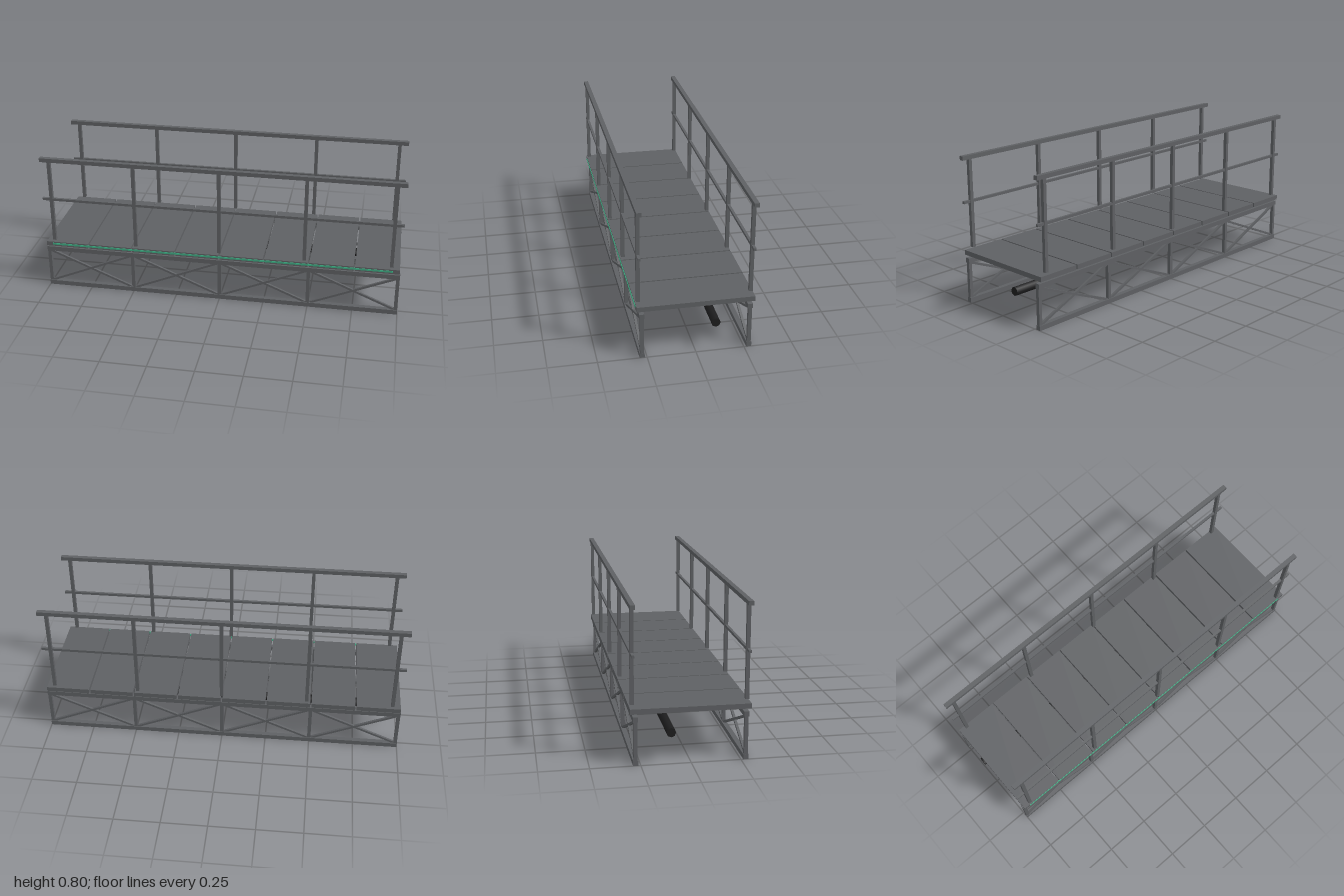
import * as THREE from 'three';

export function createModel() {
  const model = new THREE.Group();
  model.name = 'footbridge';

  const makeMaterial = (name, color) => {
    const m = new THREE.MeshStandardMaterial({ color });
    m.name = name;
    return m;
  };
  const steel = makeMaterial('steel grey', 0x5e6063);
  const black = makeMaterial('pipe black', 0x1d1d1e);
  const green = makeMaterial('light strip green', 0x3fae84);

  const box = (parent, name, size, pos, material = steel) => {
    const mesh = new THREE.Mesh(new THREE.BoxGeometry(...size), material);
    mesh.name = name;
    mesh.position.set(...pos);
    parent.add(mesh);
    return mesh;
  };

  // Deck: eight plates with narrow gaps
  const deck = new THREE.Group();
  deck.name = 'deck';
  model.add(deck);
  for (let i = 0; i < 8; i++) {
    box(deck, 'deckPlate', [0.242, 0.026, 0.6], [-0.875 + i * 0.25, 0.276, 0]);
  }

  // Thin light strip along the front edge of the deck
  box(model, 'lightStrip', [1.92, 0.01, 0.006], [0, 0.277, 0.3]);
  model.children.at(-1).material = green;

  for (const side of [1, -1]) {
    // Truss: two chords, five posts, crossed braces in each bay
    const truss = new THREE.Group();
    truss.name = side > 0 ? 'frontTruss' : 'backTruss';
    truss.position.z = side * 0.275;
    model.add(truss);
    box(truss, 'bottomChord', [2, 0.026, 0.026], [0, 0.014, 0]);
    box(truss, 'topChord', [2, 0.026, 0.026], [0, 0.237, 0]);
    for (let i = 0; i < 5; i++) {
      const x = Math.max(-0.99, Math.min(0.99, -1 + i * 0.5));
      box(truss, 'trussPost', [0.019, 0.21, 0.019], [x, 0.125, 0]);
    }
    const rise = 0.21, run = 0.5;
    for (let i = 0; i < 4; i++) {
      for (const slope of [1, -1]) {
        const brace = box(truss, 'diagonalBrace',
          [Math.hypot(run, rise) - 0.02, 0.012, 0.013], [-0.75 + i * 0.5, 0.125, 0]);
        brace.rotation.z = slope * Math.atan2(rise, run);
      }
    }

    // Railing: handrail, mid rail and five posts
    const railing = new THREE.Group();
    railing.name = side > 0 ? 'frontRailing' : 'backRailing';
    railing.position.z = side * 0.286;
    model.add(railing);
    box(railing, 'handrail', [2, 0.022, 0.025], [0, 0.791, 0]);
    box(railing, 'midRail', [2, 0.014, 0.014], [0, 0.553, 0]);
    for (let i = 0; i < 5; i++) {
      box(railing, 'railingPost', [0.019, 0.485, 0.019], [-0.95 + i * 0.475, 0.5425, 0]);
    }
  }

  // Service pipe under the deck
  const pipe = new THREE.Mesh(new THREE.CylinderGeometry(0.024, 0.024, 2, 8), black);
  pipe.name = 'servicePipe';
  pipe.rotation.z = Math.PI / 2;
  pipe.position.set(0, 0.162, -0.1);
  model.add(pipe);

  return model;
}
